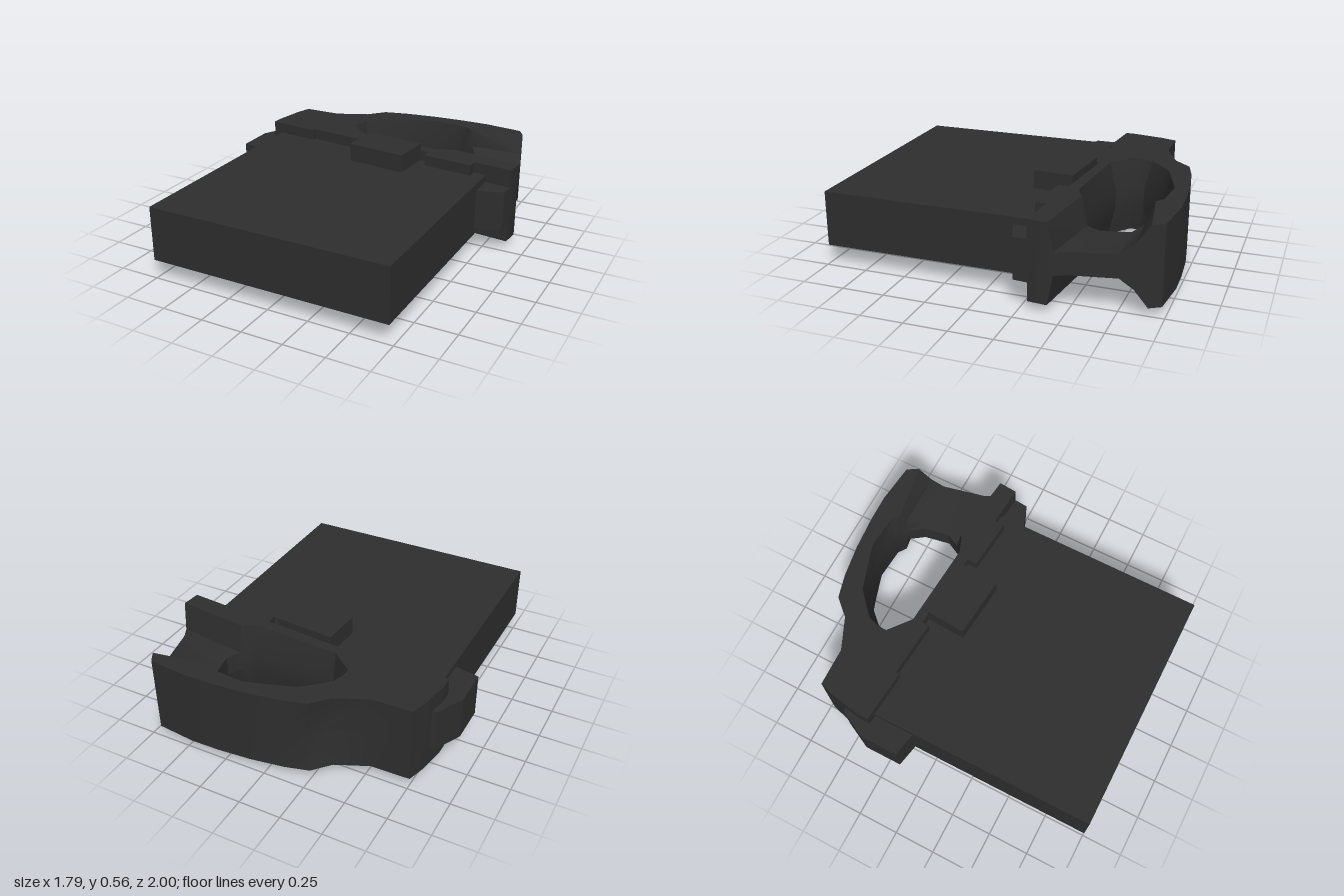
import * as THREE from 'three';
import { toCreasedNormals } from 'three/addons/utils/BufferGeometryUtils.js';

const black = new THREE.MeshStandardMaterial({ color: 0x2e2e2e });
black.name = 'matte black';

const MID = 0.278; // height of the symmetry plane
const H = 0.2325; // half height of the grip
const THIN = 0.06; // half height of its inner wall

// Slightly slanted front line of the grip bar
const frontZ = (x) => -0.372 + 0.09 * x;

// Upright prism from a plan outline of [x, z] points
function prism(name, points, y0, y1) {
  const shape = new THREE.Shape(points.map(([x, z]) => new THREE.Vector2(x, z)));
  const geo = new THREE.ExtrudeGeometry(shape, { depth: y1 - y0, bevelEnabled: false });
  geo.rotateX(Math.PI / 2);
  const mesh = new THREE.Mesh(geo, black);
  mesh.position.y = y1;
  mesh.name = name;
  return mesh;
}

// Plan points of the grip, each as [outer x, outer z, inner x, inner z]
const frontBar = [
  [-0.81, frontZ(-0.81), -0.25, -0.56],
  [-0.15, frontZ(-0.15), -0.16, -0.485],
  [0.34, frontZ(0.34), 0.37, -0.447],
  [0.885, frontZ(0.885), 0.41, -0.456],
  [0.895, -0.405, 0.42, -0.46],
];
const sideArm = [
  [0.883, -0.435, 0.46, -0.49],
  [0.85, -0.5, 0.5, -0.57],
  [0.79, -0.76, 0.47, -0.73],
  [0.77, -0.835, 0.4, -0.83],
];
const backRail = [
  [0.75, -0.91, 0.37, -0.845],
  [0.71, -0.975, 0.35, -0.853],
  [0.47, -1, 0.33, -0.86],
  [0.3, -0.996, 0.13, -0.88],
  [0.1, -0.98, 0, -0.825],
  [-0.1, -0.948, -0.13, -0.77],
];
const hollowCorner = [
  [-0.24, -0.91, -0.19, -0.705],
  [-0.33, -0.81, -0.25, -0.64],
];
const post = [
  [-0.52, -0.725, -0.25, -0.6],
  [-0.75, -0.72, -0.25, -0.58],
  [-0.78, -0.62, -0.25, -0.57],
];

// Cross-section: outer edge, rim, inner wall, mirrored below, then the outer middle
function section([ox, oz, mx, mz], half = () => H, dent = 0) {
  const t = 0.04 / Math.hypot(ox - mx, oz - mz);
  const rx = mx + (ox - mx) * t;
  const rz = mz + (oz - mz) * t;
  const top = [[ox, half(oz), oz], [rx, half(rz), rz], [mx, THIN, mz]];
  const bottom = top.map(([x, y, z]) => [x, -y, z]).reverse();
  return [...top, ...bottom, [ox + dent, 0, oz + dent * 0.4]];
}

// Closed ring lofted through the cross-sections
function gripGeometry() {
  const scoop = (z) => THIN + 0.005 + 0.8 * Math.max(0, -z - 0.755);
  const rings = [
    ...frontBar.map((p) => section(p)),
    ...sideArm.map((p) => section(p, scoop)),
    ...backRail.map((p) => section(p)),
    ...hollowCorner.map((p) => section(p, () => H, 0.04)),
    ...post.map((p) => section(p)),
  ];
  const pos = [];
  rings.forEach((a, i) => {
    const b = rings[(i + 1) % rings.length];
    a.forEach((p, j) => {
      const k = (j + 1) % a.length;
      pos.push(...p, ...b[j], ...b[k], ...p, ...b[k], ...a[k]);
    });
  });
  const geo = new THREE.BufferGeometry();
  geo.setAttribute('position', new THREE.Float32BufferAttribute(pos, 3));
  return toCreasedNormals(geo, 0.55);
}

export function createModel() {
  const model = new THREE.Group();
  model.name = 'boxWithGrip';

  // Main flat box
  model.add(prism('body', [[-0.755, 1], [0.725, 1], [0.725, -0.38], [-0.755, -0.38]], 0.115, 0.445));

  // Looped grip at the back
  const grip = new THREE.Mesh(gripGeometry(), black);
  grip.name = 'gripLoop';
  grip.position.y = MID;
  model.add(grip);

  // Raised steps along the front of the grip: [start x, end x, depth]
  for (const [x0, x1, d] of [[-0.81, -0.49, 0.066], [-0.49, -0.15, 0.043], [0.335, 0.645, 0.062]]) {
    const plan = [[x0, frontZ(x0) + d], [x1, frontZ(x1) + d], [x1, frontZ(x1) - 0.01], [x0, frontZ(x0) - 0.01]];
    model.add(prism('gripStep', plan, MID - H + 0.0005, MID + H + 0.0005));
  }

  // Catches on the top and underside
  const catchPlan = [[-0.09, -0.38], [0.28, -0.345], [0.26, -0.105], [-0.105, -0.14]];
  model.add(prism('topCatch', catchPlan, 0.44, 0.555));
  model.add(prism('bottomCatch', catchPlan, 0, 0.12));

  // Side lugs
  model.add(prism('rightLug',
    [[-0.9, -0.155], [-0.9, -0.385], [-0.82, -0.545], [-0.74, -0.57], [-0.74, -0.122]], 0.15, 0.41));
  model.add(prism('leftLug', [[0.715, -0.152], [0.88, -0.21], [0.89, -0.32], [0.715, -0.36]], 0.155, 0.4));

  return model;
}
